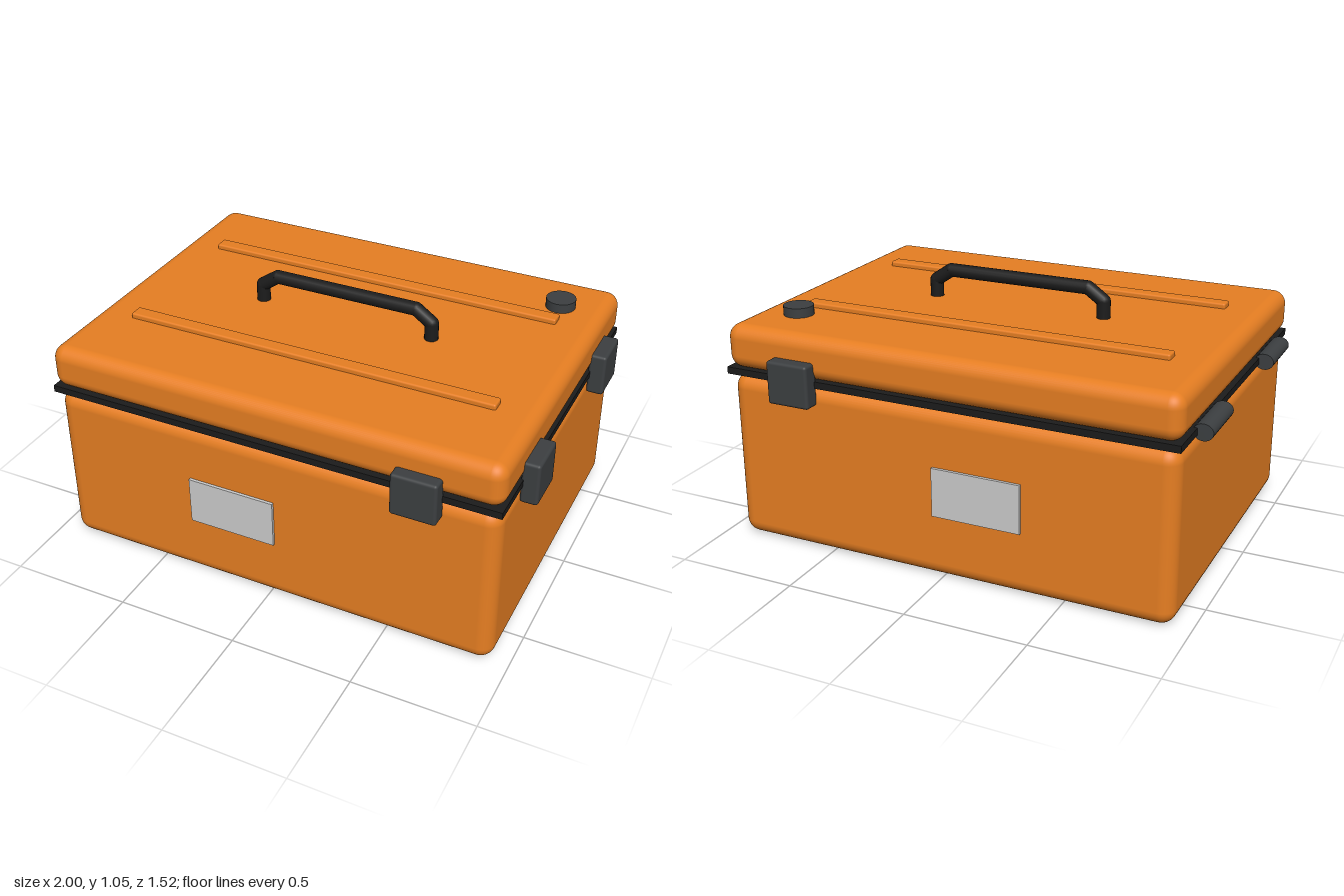
import * as THREE from 'three';
import { RoundedBoxGeometry } from 'three/addons/geometries/RoundedBoxGeometry.js';

export function createModel() {
  const model = new THREE.Group();
  const mat = (color) => new THREE.MeshStandardMaterial({ color });
  const orange = mat(0xe67e22), black = mat(0x1c1c1c), dark = mat(0x3c3f41), grey = mat(0xcccccc);

  const add = (name, geometry, material, x, y, z, parent = model) => {
    const mesh = new THREE.Mesh(geometry, material);
    mesh.name = name;
    mesh.position.set(x, y, z);
    parent.add(mesh);
    return mesh;
  };
  const rounded = (w, h, d, r, segments = 5) => new RoundedBoxGeometry(w, h, d, segments, r);

  // Shell: body, seal between the halves, and lid
  add('body', rounded(1.865, 0.7, 1.4, 0.06), orange, 0, 0.35, 0);
  add('seal', new THREE.BoxGeometry(1.88, 0.028, 1.415), black, 0, 0.716, 0);
  add('lid', rounded(1.88, 0.18, 1.42, 0.055), orange, 0, 0.816, 0);

  // Stiffening ribs on the lid
  for (const s of [-1, 1]) {
    add('lidRib', rounded(1.555, 0.04, 0.06, 0.008, 3), orange, 0, 0.907, s * 0.342);
  }

  // Pressure valve
  add('valve', new THREE.CylinderGeometry(0.061, 0.061, 0.05, 32), dark, 0.75, 0.92, -0.468);

  // Carry handle: straight rods joined by ball corners
  const handle = new THREE.Group();
  handle.name = 'handle';
  model.add(handle);
  const r = 0.028;
  const path = [[-0.373, 0.89], [-0.373, 0.975], [-0.305, 1.022], [0.305, 1.022], [0.373, 0.975], [0.373, 0.89]]
    .map(([x, y]) => new THREE.Vector3(x, y, 0));
  const up = new THREE.Vector3(0, 1, 0);
  for (let i = 0; i < path.length - 1; i++) {
    const a = path[i], b = path[i + 1];
    const mid = a.clone().lerp(b, 0.5);
    const rod = add('handleRod', new THREE.CylinderGeometry(r, r, a.distanceTo(b), 16), black, mid.x, mid.y, 0, handle);
    rod.quaternion.setFromUnitVectors(up, b.clone().sub(a).normalize());
    if (i > 0) add('handleCorner', new THREE.SphereGeometry(r, 16, 12), black, a.x, a.y, 0, handle);
  }

  for (const s of [-1, 1]) {
    // Latches on the front and back, and two on the left side
    add('endLatch', rounded(0.182, 0.176, 0.07, 0.012, 3), dark, 0.625, 0.717, s * 0.727);
    add('sideLatch', rounded(0.07, 0.176, 0.182, 0.012, 3), dark, 0.965, 0.717, s * 0.405);

    // Hinge barrels on the right side
    const hinge = add('hinge', new THREE.CylinderGeometry(0.033, 0.033, 0.245, 24), dark, -0.961, 0.716, s * 0.405);
    hinge.rotation.x = Math.PI / 2;
    hinge.scale.x = 1.18;

    // Blank plates on the front and back
    add('plate', new THREE.BoxGeometry(0.367, 0.2, 0.02), grey, -0.152, 0.365, s * 0.702);
  }

  return model;
}
